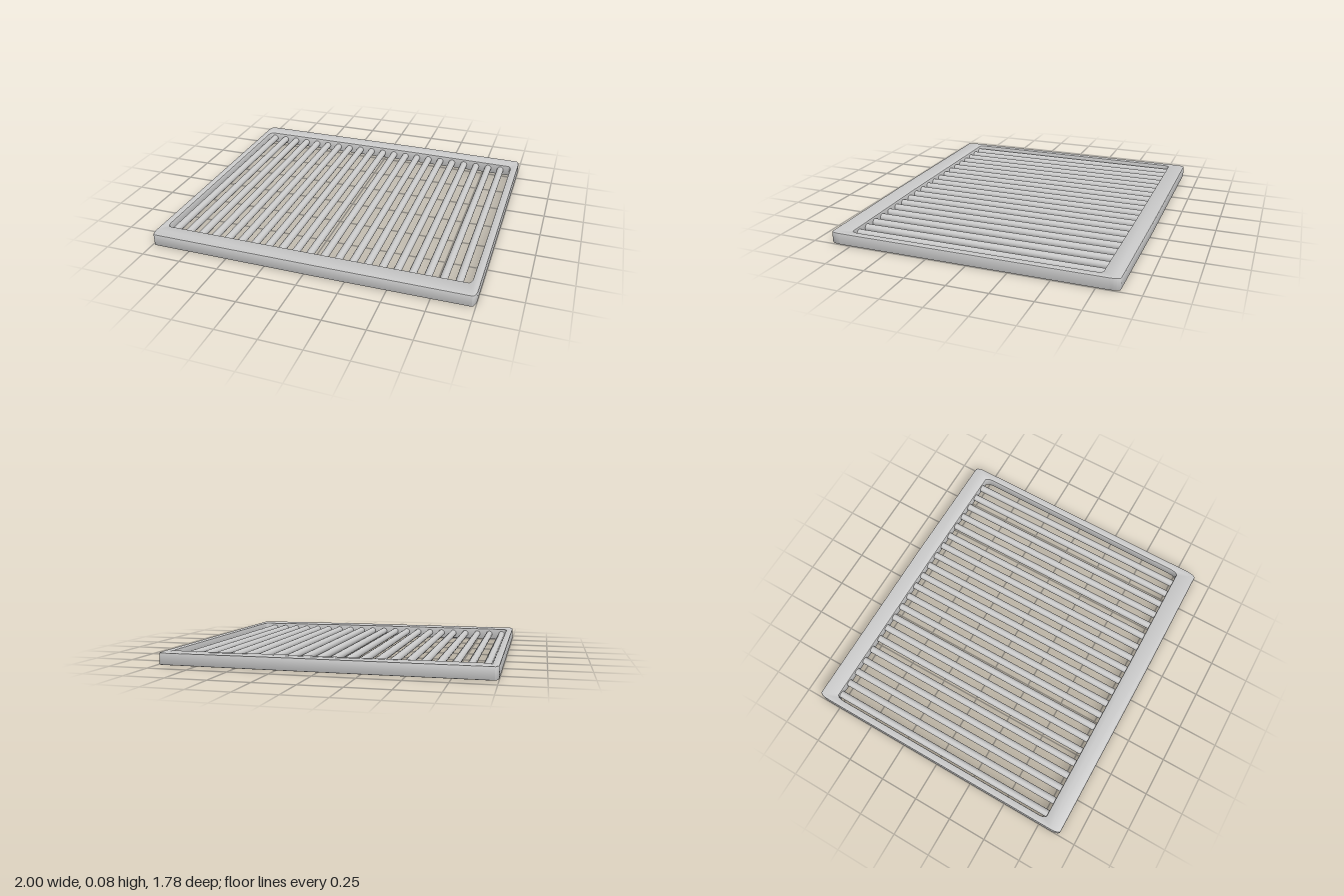
import * as THREE from 'three';
import { toCreasedNormals } from 'three/addons/utils/BufferGeometryUtils.js';

const HEIGHT = 0.077, BEVEL = 0.006;

// Rectangle with elliptical corners, long edges split where the taper begins
function outline(path, x0, x1, y0, y1, rx, ry) {
  path.moveTo(x0 + rx, y0);
  path.lineTo(0.2, y0);
  path.lineTo(x1 - rx, y0);
  path.absellipse(x1 - rx, y0 + ry, rx, ry, -Math.PI / 2, 0, false, 0);
  path.lineTo(x1, y1 - ry);
  path.absellipse(x1 - rx, y1 - ry, rx, ry, 0, Math.PI / 2, false, 0);
  path.lineTo(0.2, y1);
  path.lineTo(x0 + rx, y1);
  path.absellipse(x0 + rx, y1 - ry, rx, ry, Math.PI / 2, Math.PI, false, 0);
  path.lineTo(x0, y0 + ry);
  path.absellipse(x0 + rx, y0 + ry, rx, ry, Math.PI, Math.PI * 1.5, false, 0);
  return path;
}

export function createModel() {
  const model = new THREE.Group();
  model.name = 'grate';
  const material = new THREE.MeshStandardMaterial({ color: 0xcccccc });

  // Frame: wide front and back rails, narrow sides
  const shape = outline(new THREE.Shape(), -1, 1, -0.89, 0.89, 0.022, 0.06);
  shape.holes.push(outline(new THREE.Path(), -0.957, 0.953, -0.77, 0.78, 0.02, 0.05));
  let frameGeo = new THREE.ExtrudeGeometry(shape, {
    depth: HEIGHT - 2 * BEVEL, curveSegments: 6,
    bevelEnabled: true, bevelSize: BEVEL, bevelThickness: BEVEL, bevelOffset: -BEVEL, bevelSegments: 2,
  });
  frameGeo.rotateX(-Math.PI / 2);
  frameGeo.translate(0, BEVEL, 0);

  // Slight taper toward the left end
  const p = frameGeo.attributes.position;
  for (let i = 0; i < p.count; i++) {
    const t = Math.max(0, (p.getX(i) - 0.2) / 0.8);
    p.setY(i, p.getY(i) * (1 - 0.05 * t));
    p.setZ(i, p.getZ(i) * (1 - 0.009 * t));
  }
  frameGeo = toCreasedNormals(frameGeo, 0.6);
  const frame = new THREE.Mesh(frameGeo, material);
  frame.name = 'frame';
  model.add(frame);

  // Round bars running front to back
  const bars = new THREE.Group();
  bars.name = 'bars';
  const barGeo = new THREE.CylinderGeometry(0.023, 0.023, 1.6, 20);
  barGeo.rotateX(Math.PI / 2);
  for (let i = 0; i <= 20; i++) {
    const bar = new THREE.Mesh(barGeo, material);
    bar.name = 'bar';
    bar.position.set(-0.92 + i * 0.0899, 0.037, 0);
    bars.add(bar);
  }
  model.add(bars);
  return model;
}
